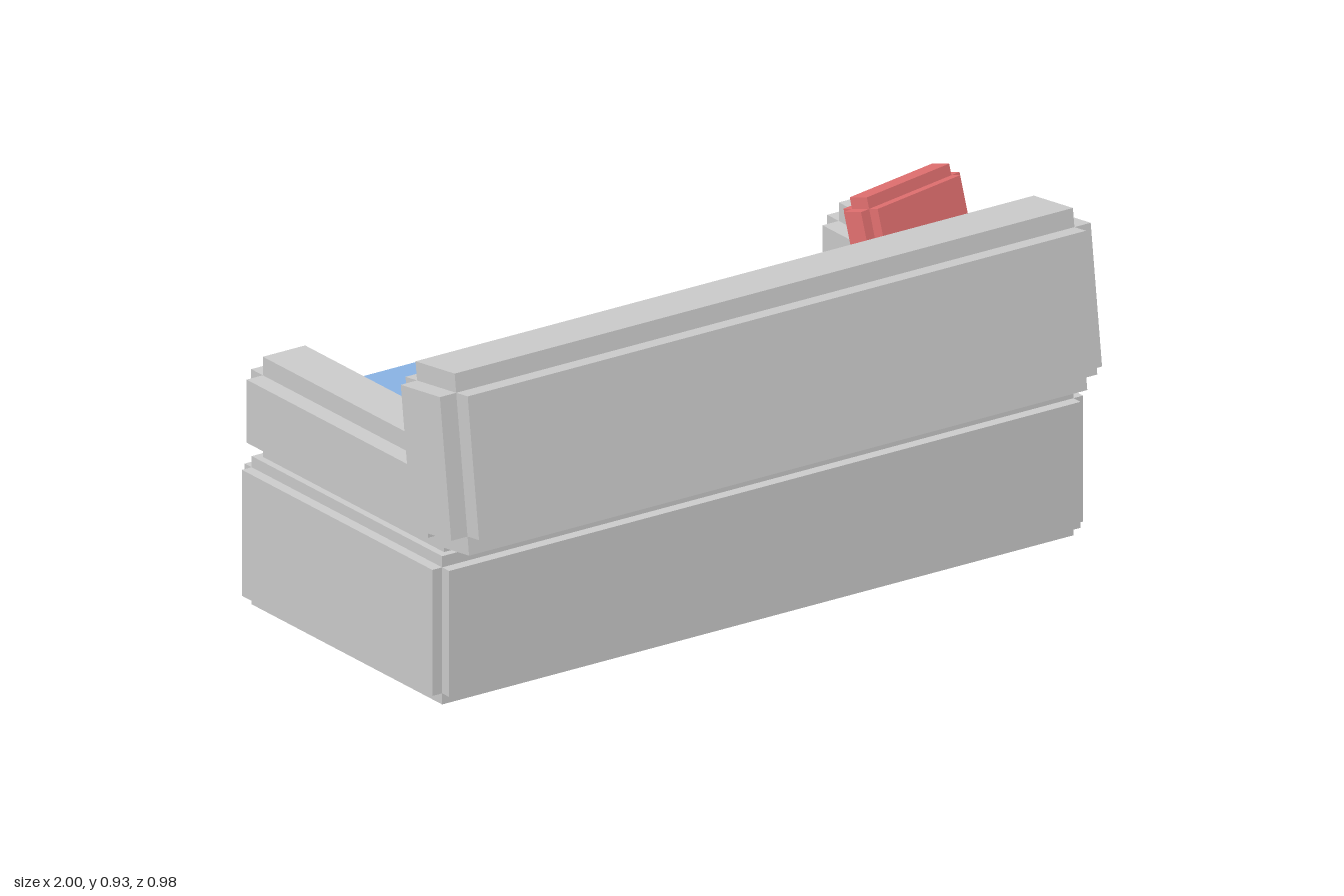
import * as THREE from 'three';

const grey = new THREE.MeshStandardMaterial({ color: 0xcccccc, flatShading: true });
const blue = new THREE.MeshStandardMaterial({ color: 0x88b2e3, flatShading: true });
const red = new THREE.MeshStandardMaterial({ color: 0xe27070, flatShading: true });

// A block with stepped edges: three boxes, each reaching full size along one axis only
function steppedBlock(name, size, step, position, material) {
  const block = new THREE.Group();
  block.name = name;
  ['Width', 'Height', 'Depth'].forEach((label, axis) => {
    const dims = size.map((s, i) => (i === axis ? s : s - 2 * step));
    const mesh = new THREE.Mesh(new THREE.BoxGeometry(...dims), material);
    mesh.name = name + label;
    block.add(mesh);
  });
  block.position.set(...position);
  return block;
}

export function createModel() {
  const sofa = new THREE.Group();
  sofa.name = 'sofa';

  // Base
  sofa.add(steppedBlock('base', [2, 0.4, 0.88], 0.03, [0, 0.2, -0.05], grey));

  // Backrest, tilted over the seat
  const backrest = steppedBlock('backrest', [2, 0.475, 0.27], 0.05, [0, 0.65, 0.3325], grey);
  backrest.rotation.x = THREE.MathUtils.degToRad(-7.5);
  sofa.add(backrest);

  // Mirrored armrests and seat cushions
  for (const [side, s] of [['left', 1], ['right', -1]]) {
    sofa.add(steppedBlock(side + 'Armrest', [0.23, 0.27, 0.88], 0.05, [s * 0.885, 0.535, -0.05], grey));
    sofa.add(steppedBlock(side + 'SeatCushion', [0.76, 0.16, 0.63], 0.05, [s * 0.4, 0.48, -0.145], blue));
  }

  // Loose pillow leaning in the corner
  const pillow = steppedBlock('pillow', [0.365, 0.37, 0.12], 0.03, [0.67, 0.748, 0.092], red);
  pillow.rotation.set(THREE.MathUtils.degToRad(-15), THREE.MathUtils.degToRad(12), 0, 'YXZ');
  sofa.add(pillow);

  return sofa;
}
